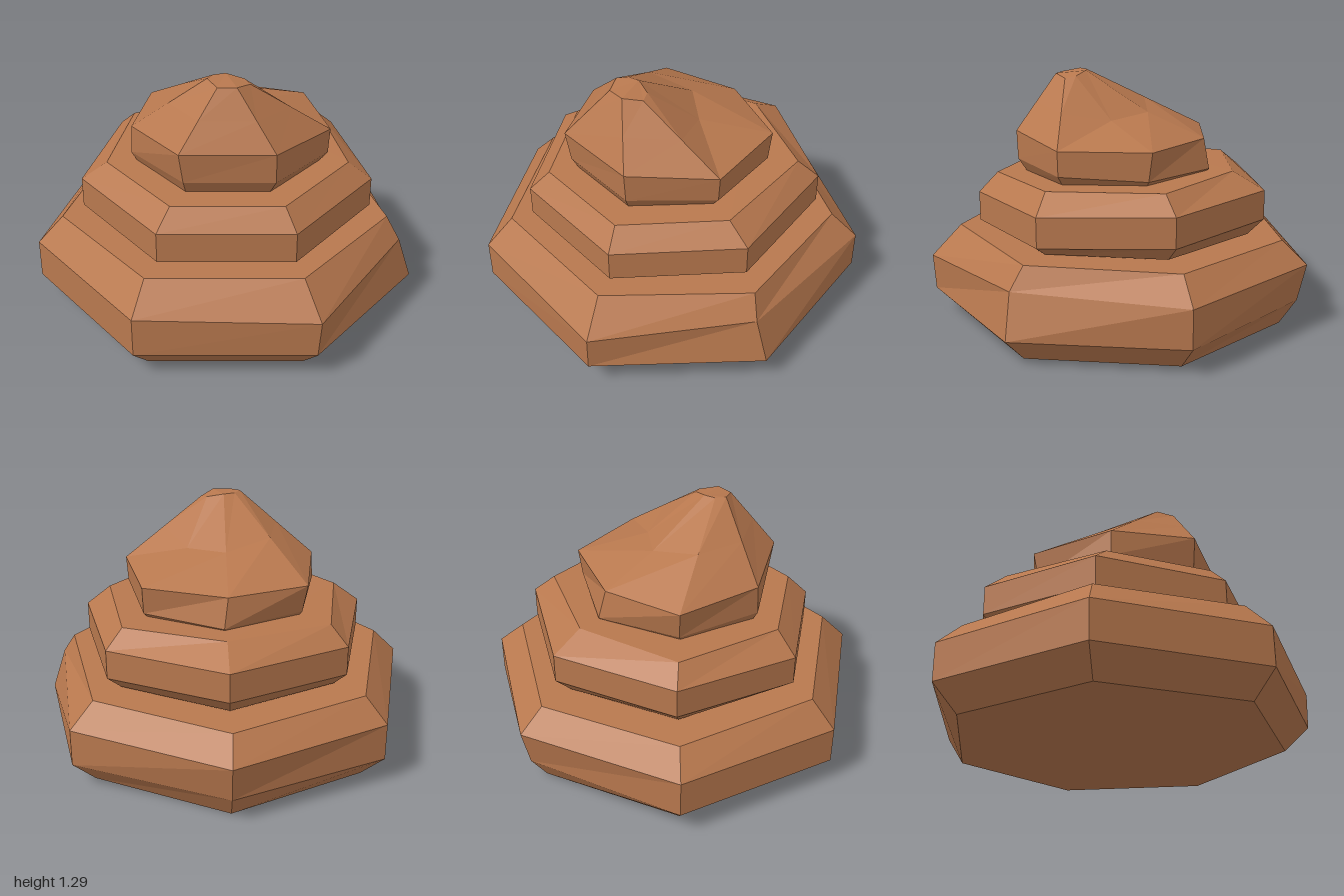
import * as THREE from 'three';

const SIDES = 7;
const material = new THREE.MeshStandardMaterial({ color: 0xb8784e, flatShading: true });

// Heptagon with one corner at the back; height runs from yFront to yBack.
// Corners are numbered from the back round by +x; "moved" replaces single corners.
function ring(radius, cx, cz, yFront, yBack, moved = {}) {
  const points = [];
  for (let k = 0; k < SIDES; k++) {
    const a = (k / SIDES) * Math.PI * 2;
    const t = (1 + Math.cos(a)) / 2;
    const y = yFront + (yBack - yFront) * t;
    points.push(moved[k] ?? [cx + radius * Math.sin(a), y, cz - radius * Math.cos(a)]);
  }
  return points;
}

// Skin stacked rings, closed by a flat cap at each end
function tier(name, rings) {
  const pos = [];
  const tri = (a, b, c) => pos.push(...a, ...b, ...c);
  for (let i = 0; i < rings.length - 1; i++) {
    const lo = rings[i], hi = rings[i + 1];
    for (let k = 0; k < SIDES; k++) {
      const n = (k + 1) % SIDES;
      tri(lo[n], lo[k], hi[k]);
      tri(lo[n], hi[k], hi[n]);
    }
  }
  const bottom = rings[0], top = rings[rings.length - 1];
  for (let k = 1; k < SIDES - 1; k++) {
    tri(bottom[0], bottom[k], bottom[k + 1]);
    tri(top[0], top[k + 1], top[k]);
  }
  const geometry = new THREE.BufferGeometry();
  geometry.setAttribute('position', new THREE.Float32BufferAttribute(pos, 3));
  geometry.computeVertexNormals();
  const mesh = new THREE.Mesh(geometry, material);
  mesh.name = name;
  return mesh;
}

export function createModel() {
  const group = new THREE.Group();
  group.name = 'layeredMound';

  // Wide bottom layer
  group.add(tier('bottomLayer', [
    ring(0.885, 0, 0.045, 0, 0),
    ring(1.02, 0, 0.045, 0.13, 0.14, { 0: [0, 0.14, -0.93] }),
    ring(1.02, 0, 0.045, 0.335, 0.34, { 0: [0, 0.34, -0.975], 2: [0.92, 0.36, 0.28], 3: [0.455, 0.32, 0.97] }),
    ring(0.88, -0.005, 0.04, 0.487, 0.458),
  ]));

  // Middle layer, tilted up toward the back
  group.add(tier('middleLayer', [
    ring(0.7, 0, 0.045, 0.485, 0.475),
    ring(0.775, 0.005, 0.035, 0.51, 0.565),
    ring(0.775, 0.005, 0.035, 0.665, 0.72),
    ring(0.64, 0.01, 0.07, 0.77, 0.81, { 1: [0.53, 0.8, -0.37], 6: [-0.52, 0.8, -0.37] }),
  ]));

  // Top layer: a band drawn up to a small tip that leans forward
  const rim = ring(0.5, 0.02, 0.1, 0.995, 0.97, {
    0: [0, 0.97, -0.41], 1: [0.43, 0.97, -0.27], 2: [0.535, 0.965, 0.19],
    3: [0.245, 0.995, 0.55], 4: [-0.225, 1.0, 0.56], 5: [-0.48, 0.98, 0.19],
    6: [-0.41, 0.97, -0.27],
  });
  const tip = ring(0.08, 0.01, 0.33, 1.28, 1.295, {
    0: [0, 1.295, 0.25], 1: [0.09, 1.275, 0.27], 2: [0.12, 1.265, 0.32],
    3: [0.055, 1.28, 0.4], 4: [-0.04, 1.28, 0.4], 5: [-0.09, 1.295, 0.32],
    6: [-0.06, 1.295, 0.27],
  });
  // Halfway up the slope, hollowed at the back and back left
  const slope = rim.map((p, k) => p.map((v, i) => (v + tip[k][i]) / 2));
  slope[0] = [0, 1.09, -0.1];
  slope[1] = [0.2, 1.07, 0.03];

  group.add(tier('topLayer', [
    ring(0.47, 0.01, 0.08, 0.765, 0.76),
    ring(0.52, 0.02, 0.075, 0.845, 0.815),
    rim, slope, tip,
  ]));

  return group;
}
